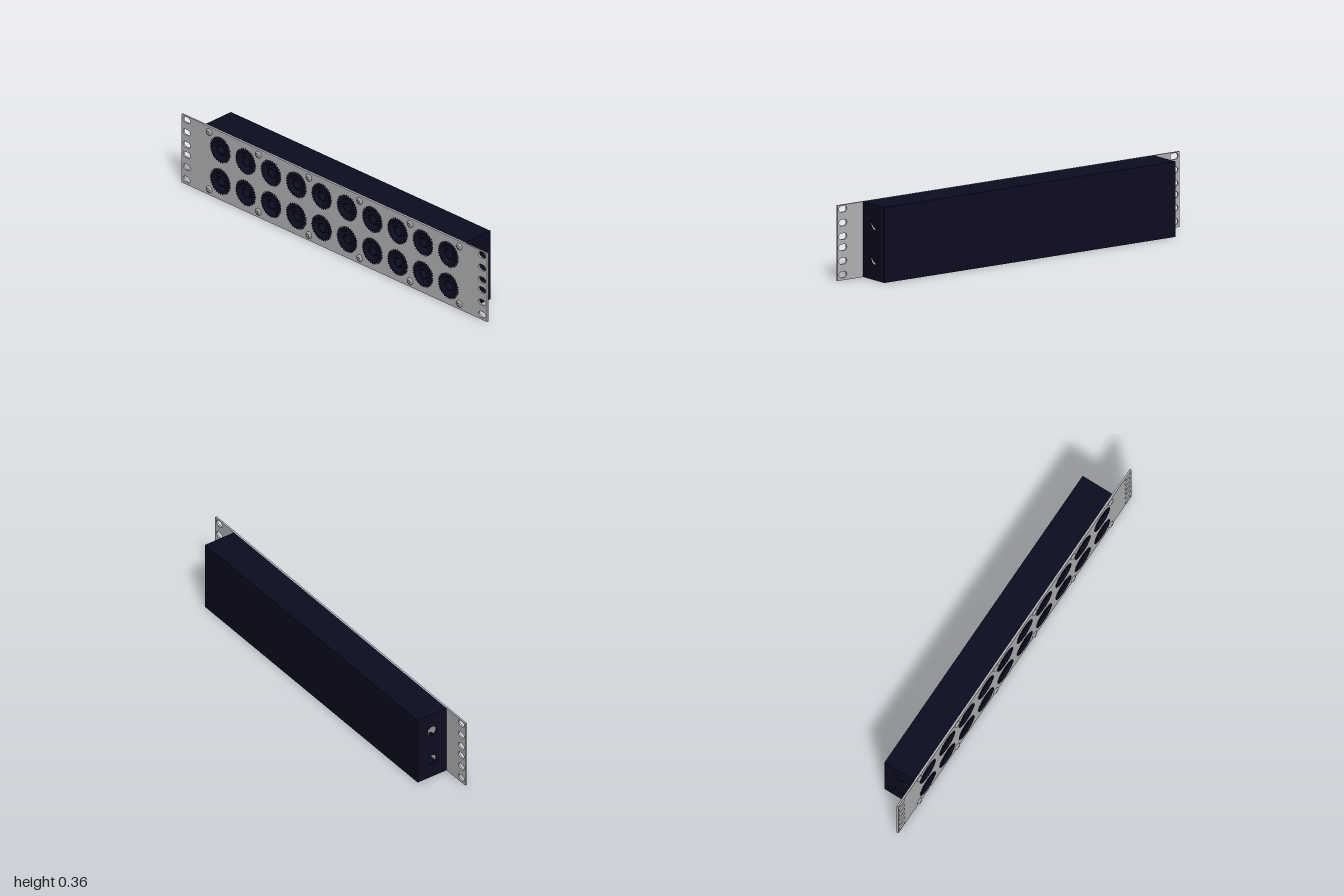
import * as THREE from 'three';

const H = 0.361, PANEL_BACK = 0.075, PANEL_FRONT = 0.084, BODY_BACK = -0.091;
const ROWS = [0.098, 0.264];
const COLUMNS = Array.from({ length: 10 }, (_, i) => (i - 4.5) * 0.166);

const material = (name, color, side = THREE.FrontSide) => {
  const m = new THREE.MeshStandardMaterial({ color, side });
  m.name = name;
  return m;
};

function rectangle(x0, y0, x1, y1) {
  return new THREE.Shape([[x0, y0], [x1, y0], [x1, y1], [x0, y1]].map(p => new THREE.Vector2(...p)));
}

function circleHole(x, y, r) {
  const p = new THREE.Path();
  p.absarc(x, y, r, 0, Math.PI * 2, true);
  return p;
}

// horizontal rounded rack slot
function slotHole(x, y, w, h) {
  const p = new THREE.Path(), r = h / 2, d = w / 2 - r;
  p.absarc(x + d, y, r, Math.PI / 2, -Math.PI / 2, true);
  p.absarc(x - d, y, r, -Math.PI / 2, -Math.PI * 1.5, true);
  p.closePath();
  return p;
}

function extrude(shape, depth) {
  return new THREE.ExtrudeGeometry(shape, { depth, bevelEnabled: false, curveSegments: 16 });
}

// revolved profile of [radius, z] points, axis turned towards +z
function latheZ(points, segments) {
  return new THREE.LatheGeometry(points.map(p => new THREE.Vector2(...p)), segments).rotateX(Math.PI / 2);
}

export function createModel() {
  const model = new THREE.Group();
  const grey = material('panelGrey', 0xb4b4b7);
  const steel = material('screwSteel', 0xa6a6a9);
  const dark = material('darkNavy', 0x0c0c20, THREE.DoubleSide);

  const add = (parent, name, geometry, mat, x = 0, y = 0, z = 0) => {
    const mesh = new THREE.Mesh(geometry, mat);
    mesh.name = name;
    mesh.position.set(x, y, z);
    parent.add(mesh);
    return mesh;
  };

  // front panel with rack slots and socket openings
  const panel = rectangle(-1, 0, 1, H);
  for (const side of [-1, 1])
    for (const y of [0.027, 0.092, 0.157, 0.21, 0.275, 0.341])
      panel.holes.push(slotHole(side * 0.968, y, 0.046, 0.03));
  for (const x of COLUMNS) for (const y of ROWS) panel.holes.push(circleHole(x, y, 0.052));
  add(model, 'frontPanel', extrude(panel, PANEL_FRONT - PANEL_BACK), grey, 0, 0, PANEL_BACK);

  // hollow housing made of thin sheets, closed by the front panel
  const housing = new THREE.Group();
  housing.name = 'housing';
  model.add(housing);
  const t = 0.006, depth = PANEL_BACK - BODY_BACK, midZ = (PANEL_BACK + BODY_BACK) / 2;
  add(housing, 'backSheet', new THREE.BoxGeometry(1.7, H, t), dark, 0, H / 2, BODY_BACK + t / 2);
  for (const [name, y] of [['bottomSheet', t / 2], ['topSheet', H - t / 2]])
    add(housing, name, new THREE.BoxGeometry(1.7, t, depth), dark, 0, y, midZ);

  // end sheets with cable holes
  const end = rectangle(-PANEL_BACK, 0, -BODY_BACK, H);
  for (const y of ROWS) end.holes.push(circleHole(0.008, y, 0.025));
  const endGeometry = extrude(end, t).rotateY(Math.PI / 2);
  add(housing, 'leftEnd', endGeometry, dark, 0.85 - t);
  add(housing, 'rightEnd', endGeometry, dark, -0.85);

  // toothed rim of each socket
  const teeth = 32, rim = new THREE.Shape();
  for (let i = 0; i < teeth * 4; i++) {
    const a = (i / (teeth * 4)) * Math.PI * 2, r = i % 4 < 2 ? 0.067 : 0.061;
    rim[i ? 'lineTo' : 'moveTo'](Math.cos(a) * r, Math.sin(a) * r);
  }
  rim.closePath();
  rim.holes.push(circleHole(0, 0, 0.05));
  const rimGeometry = extrude(rim, 0.0015);

  // raised collar and stepped bowl inside the rim
  const collarGeometry = latheZ([[0.06, 0], [0.057, 0.003], [0.047, 0.003], [0.045, -0.004]], 40);
  const bowlGeometry = latheZ([[0.045, -0.004], [0.038, -0.014], [0.03, -0.014],
    [0.026, -0.004], [0.021, -0.004], [0.018, -0.03], [0, -0.03]], 40);
  for (const y of ROWS) for (const x of COLUMNS) {
    const socket = new THREE.Group();
    socket.name = 'socket';
    socket.position.set(x, y, PANEL_FRONT);
    add(socket, 'toothedRim', rimGeometry, dark);
    add(socket, 'collar', collarGeometry, dark);
    add(socket, 'bowl', bowlGeometry, dark);
    model.add(socket);
  }

  // domed screws with a hexagonal recess
  const headGeometry = latheZ([[0.018, 0], [0.0175, 0.003], [0.015, 0.0065], [0.011, 0.0085], [0.007, 0.009]], 24);
  const recessGeometry = latheZ([[0.007, 0.009], [0.007, 0.003], [0, 0.003]], 6);
  steel.side = THREE.DoubleSide;
  for (const y of [0.03, 0.332]) for (const x of [-0.82, -0.497, -0.166, 0.166, 0.497, 0.82]) {
    const screw = new THREE.Group();
    screw.name = 'screw';
    screw.position.set(x, y, PANEL_FRONT);
    add(screw, 'screwHead', headGeometry, steel);
    add(screw, 'hexRecess', recessGeometry, steel);
    model.add(screw);
  }
  return model;
}
